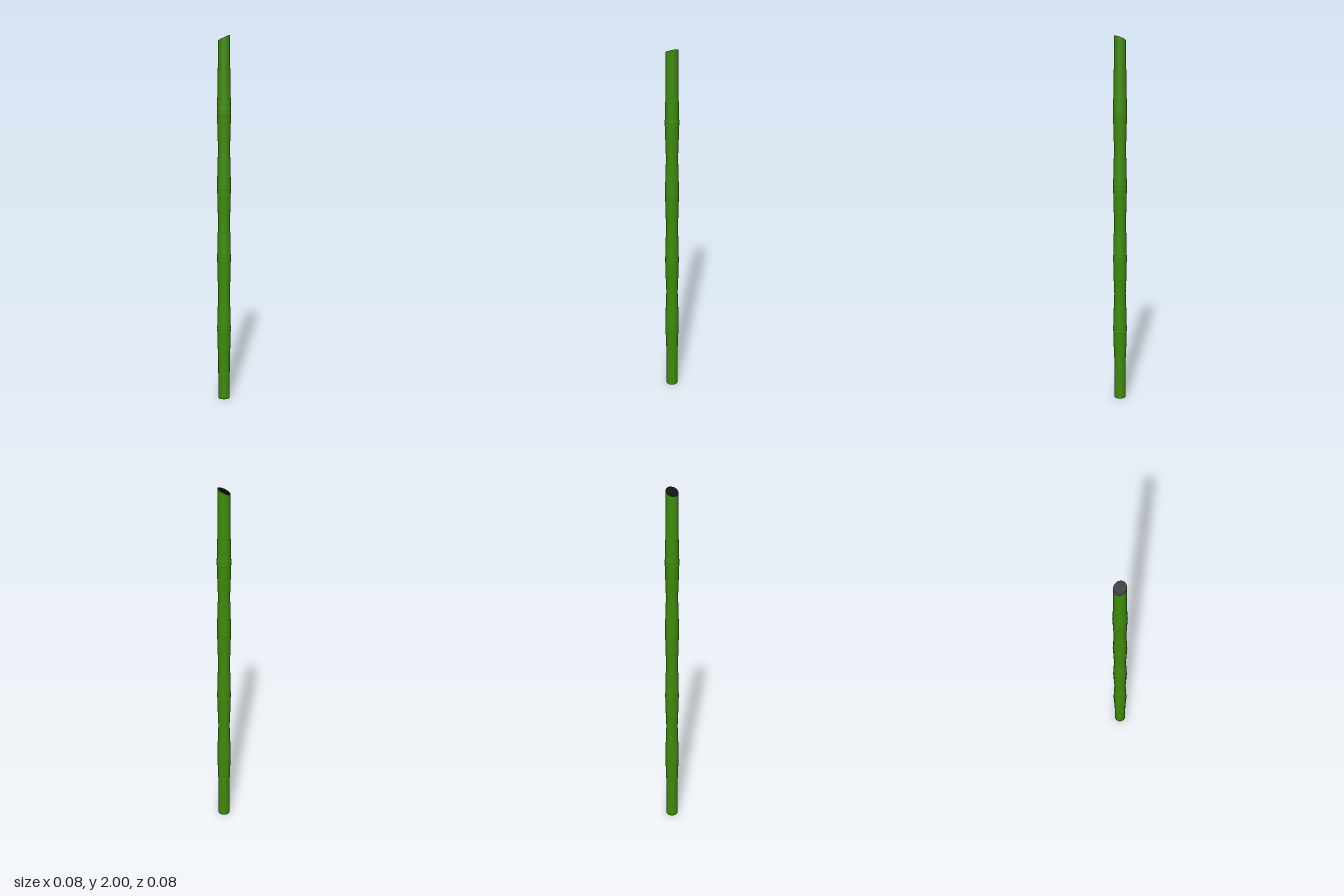
import * as THREE from 'three';

const SIDES = 32, HEIGHT = 2, END_R = 0.032, CUT_DROP = 0.03;

// Slanted cut plane across the top: low on -x, high on +x
const cutHeight = (x) => HEIGHT - CUT_DROP / 2 + (x / END_R) * (CUT_DROP / 2);

export function createModel() {
  const green = new THREE.MeshStandardMaterial({ color: 0x3f8a0c });
  green.name = 'bamboo green';
  const dark = new THREE.MeshStandardMaterial({ color: 0x0b0b0b });
  dark.name = 'hollow black';

  const group = new THREE.Group();
  group.name = 'bamboo pole';
  const add = (name, geometry, material) => {
    const mesh = new THREE.Mesh(geometry, material);
    mesh.name = name;
    group.add(mesh);
  };

  // Stalk: slim between the joints, swelling to a grooved ridge at each one
  const profile = [[END_R, 0], [END_R, 0.23]];
  const joint = [
    [-0.14, 0.034], [-0.08, 0.0355], [-0.02, 0.0368], [-0.012, 0.038], [-0.005, 0.038],
    [0, 0.0368],
    [0.005, 0.038], [0.012, 0.038], [0.02, 0.0368], [0.08, 0.0355], [0.14, 0.034],
  ];
  for (let i = 1; i <= 4; i++) {
    for (const [dy, r] of joint) profile.push([r, i * 0.4 + dy]);
    if (i < 4) profile.push([0.0315, i * 0.4 + 0.2]);
  }
  profile.push([0.0325, 1.85], [END_R, 1.95], [END_R, HEIGHT]);

  const stalk = new THREE.LatheGeometry(profile.map(([r, y]) => new THREE.Vector2(r, y)), SIDES);
  const pos = stalk.attributes.position;
  for (let i = 0; i < pos.count; i++) {
    if (pos.getY(i) > 1.99) pos.setY(i, cutHeight(pos.getX(i)));
  }
  add('stalk', stalk, green);

  // Dark slanted end on top
  const top = new THREE.CircleGeometry(END_R, SIDES).rotateX(-Math.PI / 2);
  const tp = top.attributes.position;
  for (let i = 0; i < tp.count; i++) tp.setY(i, cutHeight(tp.getX(i)));
  top.computeVertexNormals();
  add('topCut', top, dark);

  // Dark flat end underneath
  add('bottomCut', new THREE.CircleGeometry(END_R, SIDES).rotateX(Math.PI / 2), dark);

  return group;
}
